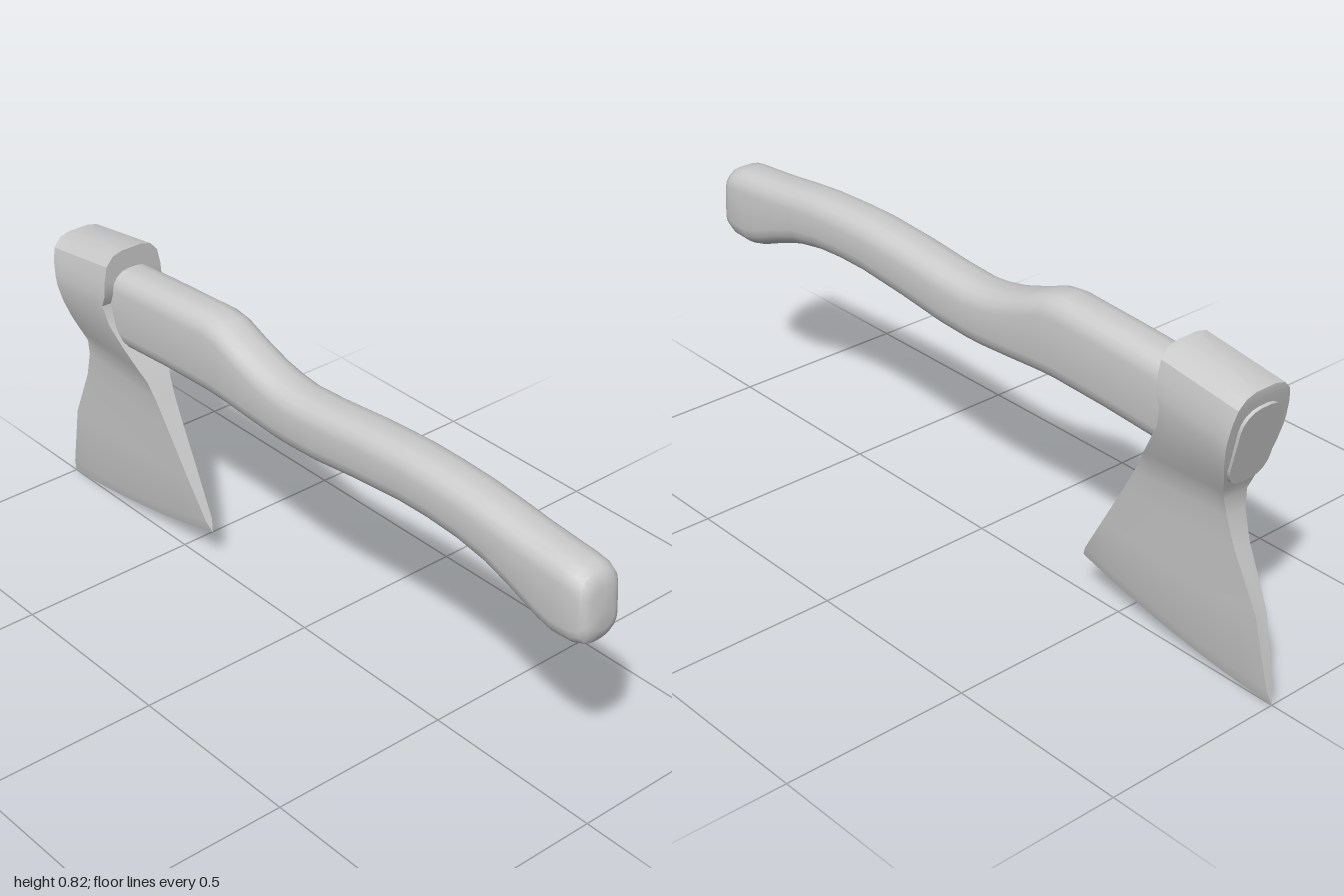
import * as THREE from 'three';
import { toCreasedNormals } from 'three/addons/utils/BufferGeometryUtils.js';

const material = new THREE.MeshStandardMaterial({ color: 0xcccccc });

// Skin a list of closed rings ([x, y, z] points) and cap the ends.
function loft(name, rings, crease, capEnd) {
  const pos = [];
  const tri = (...pts) => pts.forEach((p) => pos.push(...p));
  const n = rings[0].length;
  for (let i = 0; i < rings.length - 1; i++) {
    for (let j = 0; j < n; j++) {
      const k = (j + 1) % n;
      const a = rings[i][j], b = rings[i][k], c = rings[i + 1][j], d = rings[i + 1][k];
      tri(a, c, d);
      tri(a, d, b);
    }
  }
  const cap = (ring, flip) => {
    const mid = [0, 1, 2].map((c) => ring.reduce((s, p) => s + p[c], 0) / n);
    ring.forEach((p, j) => {
      const q = ring[(j + 1) % n];
      if (flip) tri(mid, q, p); else tri(mid, p, q);
    });
  };
  cap(rings[0], false);
  if (capEnd) cap(rings[rings.length - 1], true);
  const geo = new THREE.BufferGeometry();
  geo.setAttribute('position', new THREE.Float32BufferAttribute(pos, 3));
  const mesh = new THREE.Mesh(toCreasedNormals(geo, crease), material);
  mesh.name = name;
  return mesh;
}

// Rounded-rectangle section between a top and a bottom point; inset shrinks it.
function handleRing([xt, yt, xb, yb], halfWidth = 0.065) {
  const cx = (xt + xb) / 2, cy = (yt + yb) / 2;
  const h = (yt - yb) / 2, r = Math.min(0.05, halfWidth * 0.8);
  const ring = [];
  for (let q = 0; q < 4; q++) {
    for (let s = 0; s < 5; s++) {
      const a = (q + s / 4) * Math.PI / 2;
      const sz = q === 0 || q === 3 ? 1 : -1, sy = q < 2 ? 1 : -1;
      const z = sz * (halfWidth - r) + r * Math.cos(a);
      const y = sy * (h - r) + r * Math.sin(a);
      ring.push([cx + (xt - xb) / 2 * (y / h), cy + y, z]);
    }
  }
  return ring;
}

function createHandle() {
  // top x, top y, bottom x, bottom y
  const sections = [
    [-0.925, 0.752, -0.879, 0.547], [-0.68, 0.775, -0.65, 0.558],
    [-0.5, 0.787, -0.48, 0.569], [-0.32, 0.797, -0.31, 0.575],
    [-0.27, 0.79, -0.25, 0.573], [-0.2, 0.762, -0.18, 0.568],
    [-0.12, 0.735, -0.1, 0.563], [-0.06, 0.723, -0.05, 0.56],
    [0, 0.717, 0, 0.56], [0.1, 0.723, 0.1, 0.565],
    [0.25, 0.738, 0.24, 0.582], [0.4, 0.747, 0.4, 0.596],
    [0.5, 0.746, 0.49, 0.597], [0.6, 0.742, 0.59, 0.591],
    [0.7, 0.732, 0.68, 0.575], [0.78, 0.722, 0.76, 0.548],
    [0.87, 0.714, 0.84, 0.516], [0.92, 0.71, 0.89, 0.503],
    [0.955, 0.704, 0.955, 0.506],
  ].map((s) => handleRing(s));
  // rounded butt
  sections.push(handleRing([0.973, 0.695, 0.983, 0.517], 0.06));
  sections.push(handleRing([0.984, 0.678, 0.995, 0.536], 0.049));
  sections.push(handleRing([0.989, 0.66, 0.999, 0.555], 0.034));
  return loft('handle', sections, 0.6, true);
}

function createHead() {
  // left x, left y, right x, right y, half thickness, sag: from poll to cutting edge
  const rows = [
    [-0.921, 0.796, -0.685, 0.83, 0.03, 0],
    [-0.921, 0.788, -0.685, 0.822, 0.06, 0],
    [-0.918, 0.766, -0.685, 0.798, 0.081, 0],
    [-0.911, 0.73, -0.685, 0.755, 0.09, 0],
    [-0.903, 0.69, -0.685, 0.715, 0.093, 0],
    [-0.898, 0.665, -0.697, 0.685, 0.092, 0],
    [-0.888, 0.62, -0.682, 0.63, 0.083, 0],
    [-0.877, 0.575, -0.648, 0.575, 0.068, 0],
    [-0.86, 0.53, -0.612, 0.52, 0.05, 0],
    [-0.852, 0.5, -0.59, 0.485, 0.037, 0],
    [-0.857, 0.455, -0.565, 0.44, 0.03, 0],
    [-0.88, 0.38, -0.525, 0.37, 0.025, 0.004],
    [-0.95, 0.23, -0.455, 0.25, 0.018, 0.01],
    [-0.99, 0.045, -0.39, 0.14, 0.01, 0.018],
    [-1, 0.005, -0.375, 0.11, 0.0005, 0.018],
  ];
  const cols = 8;
  const rings = rows.map(([xl, yl, xr, yr, w, sag]) => {
    const front = [];
    for (let j = 0; j <= cols; j++) {
      const t = j / cols;
      front.push([xl + (xr - xl) * t, yl + (yr - yl) * t - sag * 4 * t * (1 - t), w]);
    }
    const back = front.map(([x, y, z]) => [x, y, -z]).reverse();
    return [...front, ...back];
  });
  return loft('axeHead', rings, 0.5, false);
}

export function createModel() {
  const group = new THREE.Group();
  group.name = 'axe';
  group.add(createHandle(), createHead());
  return group;
}
